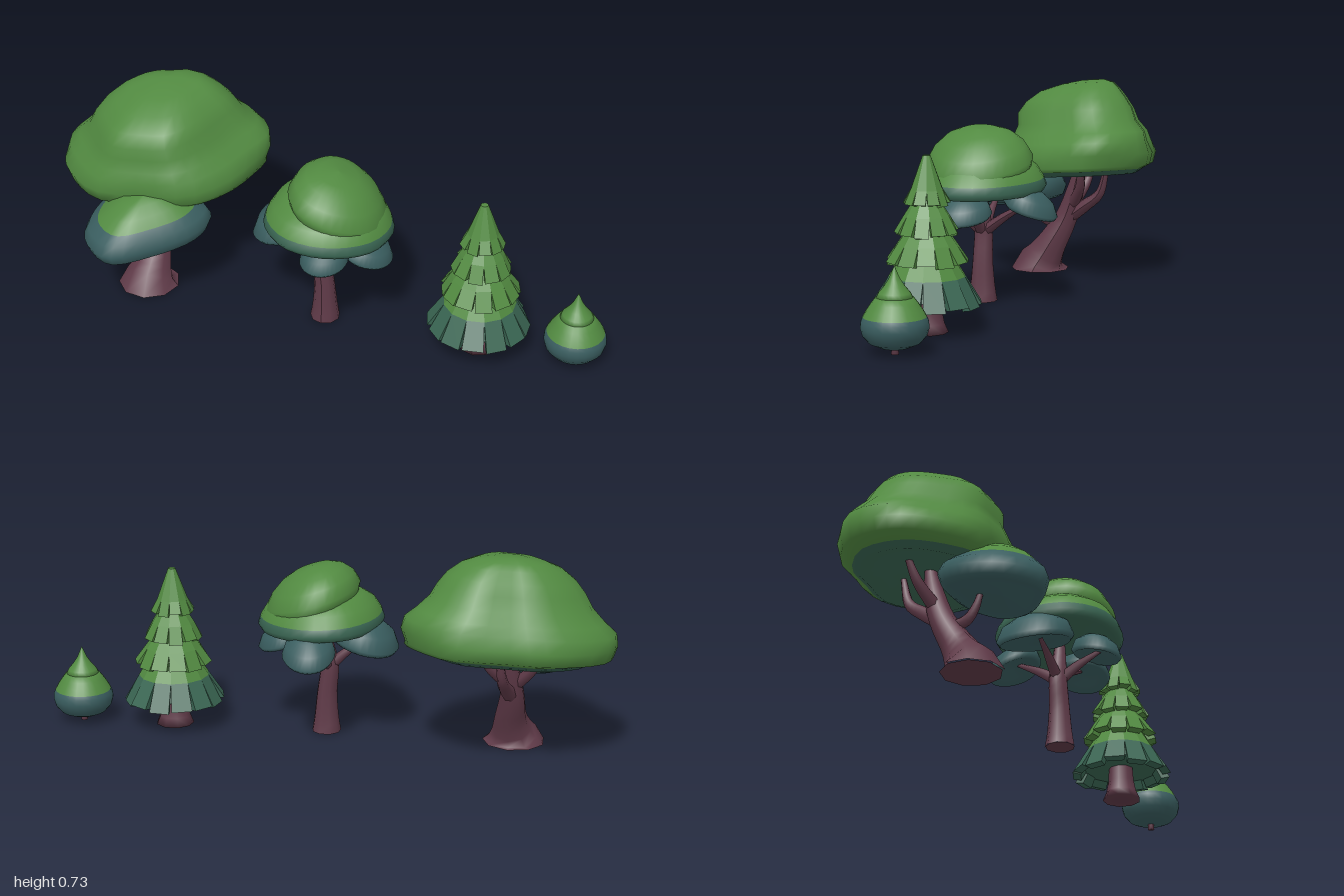
import * as THREE from 'three';

const mat = (name, color) => Object.assign(new THREE.MeshStandardMaterial({ color }), { name });

export function createModel() {
  const model = new THREE.Group();
  const green = mat('leaf green', 0x528a41);
  const teal = mat('shaded leaf green', 0x3a6653);
  const blue = mat('blue green', 0x3a5e60);
  const bark = mat('bark', 0x5f3a48);

  const group = (name) => {
    const g = new THREE.Group();
    g.name = name;
    model.add(g);
    return g;
  };
  const add = (parent, name, geo, material) => {
    const m = new THREE.Mesh(geo, material);
    m.name = name;
    parent.add(m);
    return m;
  };

  // Outline in plan, running from +x towards +z
  const ellipse = (cx, cz, rx, rz, lobe = 0.03) =>
    Array.from({ length: 12 }, (_, i) => {
      const a = (i / 12) * Math.PI * 2, k = 1 + lobe * Math.sin(3 * a + 1);
      return [cx + rx * k * Math.cos(a), cz + rz * k * Math.sin(a)];
    });

  // Foliage mass: plan outlines stacked from the bottom up as [y, scale, shiftX, shiftZ, stretchZ].
  // Bands below ring "split" take the lower colour; tilt leans the whole mass.
  function canopy(parent, name, outline, rings, split, low, high, tilt = [0, 0], lobe = 0) {
    const N = 32;
    const curve = new THREE.CatmullRomCurve3(outline.map(([x, z]) => new THREE.Vector3(x, 0, z)), true);
    const pts = curve.getPoints(N).slice(0, N);
    const c = new THREE.Box3().setFromPoints(pts).getCenter(new THREE.Vector3());
    const pos = [], idx = [];
    rings.forEach(([y, s, sx = 0, sz = 0, stretch = 1], i) => pts.forEach((p, j) => {
      const bump = i > split + 2 ? lobe : 0;
      const k = s * (1 + bump * Math.sin((3 * j / N) * Math.PI * 2 + 0.8));
      const dx = (p.x - c.x) * k, dz = (p.z - c.z) * k * stretch;
      pos.push(c.x + dx + sx, y + tilt[0] * dx + tilt[1] * dz, c.z + dz + sz);
    }));
    for (let i = 0; i < rings.length - 1; i++) for (let j = 0; j < N; j++) {
      const a = i * N + j, b = i * N + (j + 1) % N;
      idx.push(a, a + N, b, b, a + N, b + N);
    }
    const geo = new THREE.BufferGeometry();
    geo.setAttribute('position', new THREE.Float32BufferAttribute(pos, 3));
    geo.setIndex(idx);
    geo.computeVertexNormals();
    const cut = split * N * 6;
    geo.addGroup(0, cut, 0);
    geo.addGroup(cut, idx.length - cut, 1);
    return add(parent, name, geo, [low, high]);
  }

  // Tapered limb through points [x, y, z, radius]; a limb starting on the ground gets a level foot
  function limb(parent, name, pts, sides = 9) {
    const curve = new THREE.CatmullRomCurve3(pts.map((p) => new THREE.Vector3(p[0], p[1], p[2])));
    const seg = 14, geo = new THREE.TubeGeometry(curve, seg, 1, sides);
    const pos = geo.attributes.position, v = new THREE.Vector3();
    for (let k = 0; k < pos.count; k++) {
      const ring = Math.floor(k / (sides + 1)), u = ring / seg, c = curve.getPointAt(u);
      const t = curve.getUtoTmapping(u) * (pts.length - 1);
      const i = Math.min(Math.floor(t), pts.length - 2);
      const r = THREE.MathUtils.lerp(pts[i][3], pts[i + 1][3], t - i);
      v.fromBufferAttribute(pos, k).sub(c).multiplyScalar(r).add(c);
      pos.setXYZ(k, v.x, ring === 0 && pts[0][1] === 0 ? 0 : Math.max(0, v.y), v.z);
    }
    geo.computeVertexNormals();
    return add(parent, name, geo, bark);
  }
  function trunkBase(parent, x, z, r) {
    const m = add(parent, 'trunkBase', new THREE.CircleGeometry(r, 9), bark);
    m.rotation.x = Math.PI / 2;
    m.position.set(x, 0.001, z);
  }

  // Large spreading tree
  const big = group('spreadingTree');
  canopy(big, 'mainCanopy', [
    [-1, -0.08], [-0.96, -0.2], [-0.8, -0.32], [-0.66, -0.345], [-0.47, -0.37], [-0.35, -0.29], [-0.28, -0.19],
    [-0.3, -0.08], [-0.36, 0.06], [-0.475, 0.165], [-0.635, 0.18], [-0.8, 0.18], [-0.92, 0.1], [-0.985, 0.015],
  ], [
    [0.405, 0, 0.02], [0.39, 0.5, 0.02], [0.372, 0.76, 0.015], [0.392, 0.88, 0.032], [0.402, 0.96], [0.445, 1], [0.49, 0.95],
    [0.525, 0.84, 0, 0, 1.08], [0.565, 0.73, 0, 0.01, 1.12], [0.61, 0.66, 0, 0.02, 1.2], [0.65, 0.575, 0, 0.02, 1.2],
    [0.688, 0.45, 0, 0.01, 1.2], [0.712, 0.32, 0, -0.015, 1.1], [0.724, 0.16, 0, -0.03], [0.727, 0, 0, -0.04],
  ], 3, teal, green, [0.08, -0.07], 0.05);
  canopy(big, 'lowerCanopy', [
    [-0.78, 0.03], [-0.65, 0], [-0.5, 0.01], [-0.41, 0.08], [-0.43, 0.18],
    [-0.55, 0.29], [-0.69, 0.36], [-0.81, 0.275], [-0.83, 0.14],
  ], [
    [0.265, 0], [0.26, 0.6], [0.256, 0.84], [0.265, 0.94], [0.298, 1], [0.332, 0.92], [0.36, 0.76],
    [0.393, 0.57], [0.42, 0.34], [0.43, 0],
  ], 6, blue, green, [0.07, -0.13]);
  limb(big, 'trunk', [
    [-0.655, 0, 0.09, 0.11], [-0.654, 0.02, 0.087, 0.092], [-0.65, 0.05, 0.07, 0.073], [-0.645, 0.1, 0.04, 0.057],
    [-0.65, 0.2, -0.015, 0.043], [-0.64, 0.3, -0.05, 0.034], [-0.62, 0.42, -0.08, 0.018],
  ]);
  trunkBase(big, -0.655, 0.09, 0.1);
  [
    [[-0.65, 0.2, -0.02, 0.028], [-0.63, 0.25, -0.09, 0.024], [-0.62, 0.3, -0.15, 0.018], [-0.61, 0.4, -0.18, 0.01]],
    [[-0.65, 0.24, -0.03, 0.025], [-0.72, 0.32, -0.07, 0.018], [-0.76, 0.4, -0.09, 0.01]],
    [[-0.64, 0.25, -0.04, 0.024], [-0.57, 0.33, -0.09, 0.018], [-0.53, 0.41, -0.1, 0.01]],
    [[-0.65, 0.17, 0, 0.022], [-0.65, 0.19, 0.07, 0.018], [-0.65, 0.23, 0.1, 0.014], [-0.65, 0.29, 0.12, 0.008]],
  ].forEach((p) => limb(big, 'branch', p, 7));

  // Layered umbrella tree
  const umbrella = group('layeredTree');
  canopy(umbrella, 'topCanopy', ellipse(0.055, 0.1, 0.165, 0.187), [
    [0.475, 0], [0.465, 0.6], [0.455, 0.88], [0.465, 0.96], [0.498, 1], [0.543, 0.86], [0.577, 0.65], [0.597, 0.4], [0.606, 0],
  ], 2, teal, green, [-0.29, 0]);
  canopy(umbrella, 'middleCanopy', ellipse(0.024, 0.1, 0.222, 0.222), [
    [0.415, 0], [0.405, 0.6], [0.387, 0.88], [0.39, 0.95], [0.409, 1], [0.435, 0.96],
    [0.475, 0.85], [0.505, 0.66], [0.525, 0.35], [0.53, 0],
  ], 5, teal, green, [-0.05, 0]);
  // [x, y, z, radiusX, radiusZ, tiltX, tiltZ, thickness]
  [
    [-0.13, 0.365, 0.075, 0.12, 0.135, 0.22, 0, 1.5],
    [0.045, 0.35, -0.083, 0.092, 0.093, 0, 0.33, 1.2],
    [0.165, 0.335, 0.12, 0.088, 0.1, -0.28, 0, 1.1],
    [0.045, 0.35, 0.225, 0.082, 0.087, 0, -0.22, 1.1],
  ].forEach(([x, y, z, rx, rz, tx, tz, h]) => canopy(umbrella, 'lowerLeafPad', ellipse(x, z, rx, rz), [
    [-0.005, 0], [-0.012, 0.55], [-0.022, 0.9], [-0.01, 1], [0.022, 0.86], [0.043, 0.52], [0.05, 0],
  ].map(([dy, s]) => [y + dy * h, s]), 3, blue, blue, [tx, tz]));
  limb(umbrella, 'trunk', [
    [0.01, 0, 0.1, 0.052], [0.01, 0.05, 0.1, 0.044], [0.008, 0.14, 0.1, 0.036],
    [-0.002, 0.25, 0.1, 0.032], [0.01, 0.33, 0.1, 0.024], [0.02, 0.43, 0.1, 0.014],
  ]);
  trunkBase(umbrella, 0.01, 0.1, 0.05);
  [[-0.13, 0.35, 0.09], [0.15, 0.335, 0.12], [0.045, 0.35, -0.07], [0.04, 0.345, 0.24]].forEach(([x, y, z]) =>
    limb(umbrella, 'branch', [
      [0, 0.24, 0.1, 0.022], [x * 0.45, 0.295, 0.1 + (z - 0.1) * 0.45, 0.016], [x, y, z, 0.007],
    ], 7));

  // Conifer: each tier is a ring of tapered slabs around a core
  const conifer = group('conifer');
  conifer.position.set(0.56, 0, 0.103);
  function slabs(name, n, y0, r0, y1, r1, w1, material, spin, jitter) {
    const pos = [];
    for (let k = 0; k < n; k++) {
      const a = (k / n) * Math.PI * 2 + spin;
      const drop = jitter * Math.sin(k * 2.4);
      const row = (y, r, w, thick) => {
        const h = (Math.PI / n) * w, p = (rad, ang, yy) => [rad * Math.cos(ang), yy, rad * Math.sin(ang)];
        return [p(r, a - h, y), p(r, a + h, y), p(r - thick, a + h, y - 0.006), p(r - thick, a - h, y - 0.006)];
      };
      const T = row(y0, r0, 1, Math.min(0.03, r0 * 0.9)), B = row(y1 + drop, r1 + drop * 0.5, w1, 0.03);
      const quad = (p, q, r, s) => pos.push(...p, ...q, ...r, ...p, ...r, ...s);
      for (let i = 0; i < 4; i++) {
        const j = (i + 1) % 4;
        quad(B[i], T[i], T[j], B[j]);
      }
      quad(T[0], T[3], T[2], T[1]);
      quad(B[0], B[1], B[2], B[3]);
    }
    const geo = new THREE.BufferGeometry();
    geo.setAttribute('position', new THREE.Float32BufferAttribute(pos, 3));
    geo.computeVertexNormals();
    add(conifer, name, geo, material);
  }
  // [slab count, top y, top radius, middle y, middle radius, bottom y, bottom radius, bottom colour]
  [
    [13, 0.25, 0.085, 0.185, 0.125, 0.095, 0.177, teal],
    [12, 0.345, 0.06, 0.29, 0.099, 0.232, 0.135, green],
    [11, 0.435, 0.04, 0.38, 0.075, 0.325, 0.104, green],
    [10, 0.575, 0.013, 0.465, 0.054, 0.42, 0.076, green],
  ].forEach(([n, y0, r0, ym, rm, y1, r1, low], i) => {
    slabs('tierCrown', n, y0, r0, ym, rm, 1, green, i * 0.2, 0);
    slabs('tierNeedles', n, ym, rm, y1, r1, 0.86, low, i * 0.2, 0.006);
    const h = y0 - y1 - 0.025;
    const core = add(conifer, 'tierCore', new THREE.CylinderGeometry(r0 * 0.98, r1 - 0.03, h, n), low);
    core.position.y = y0 - 0.001 - h / 2;
  });
  add(conifer, 'trunk', new THREE.LatheGeometry([
    [0, 0], [0.068, 0], [0.055, 0.03], [0.047, 0.07], [0.043, 0.14],
  ].map((p) => new THREE.Vector2(...p)), 9), bark);

  // Small round shrub
  const shrub = group('roundShrub');
  shrub.position.set(0.892, 0, 0.088);
  const lathe = (name, pts, material) => add(shrub, name,
    new THREE.LatheGeometry(pts.map((p) => new THREE.Vector2(...p)), 24), material);
  lathe('lowerLeaves', [[0, 0.018], [0.045, 0.022], [0.08, 0.037], [0.1, 0.06], [0.107, 0.085], [0.105, 0.105], [0.099, 0.118]], blue);
  lathe('middleLeaves', [[0.099, 0.118], [0.088, 0.138], [0.073, 0.16], [0.06, 0.177], [0.04, 0.185], [0, 0.188]], green);
  lathe('topLeaves', [[0, 0.17], [0.045, 0.172], [0.057, 0.178], [0.05, 0.192], [0.033, 0.212], [0.018, 0.235], [0.008, 0.258], [0, 0.277]], green);
  lathe('stem', [[0, 0], [0.012, 0], [0.01, 0.035]], bark);

  return model;
}
